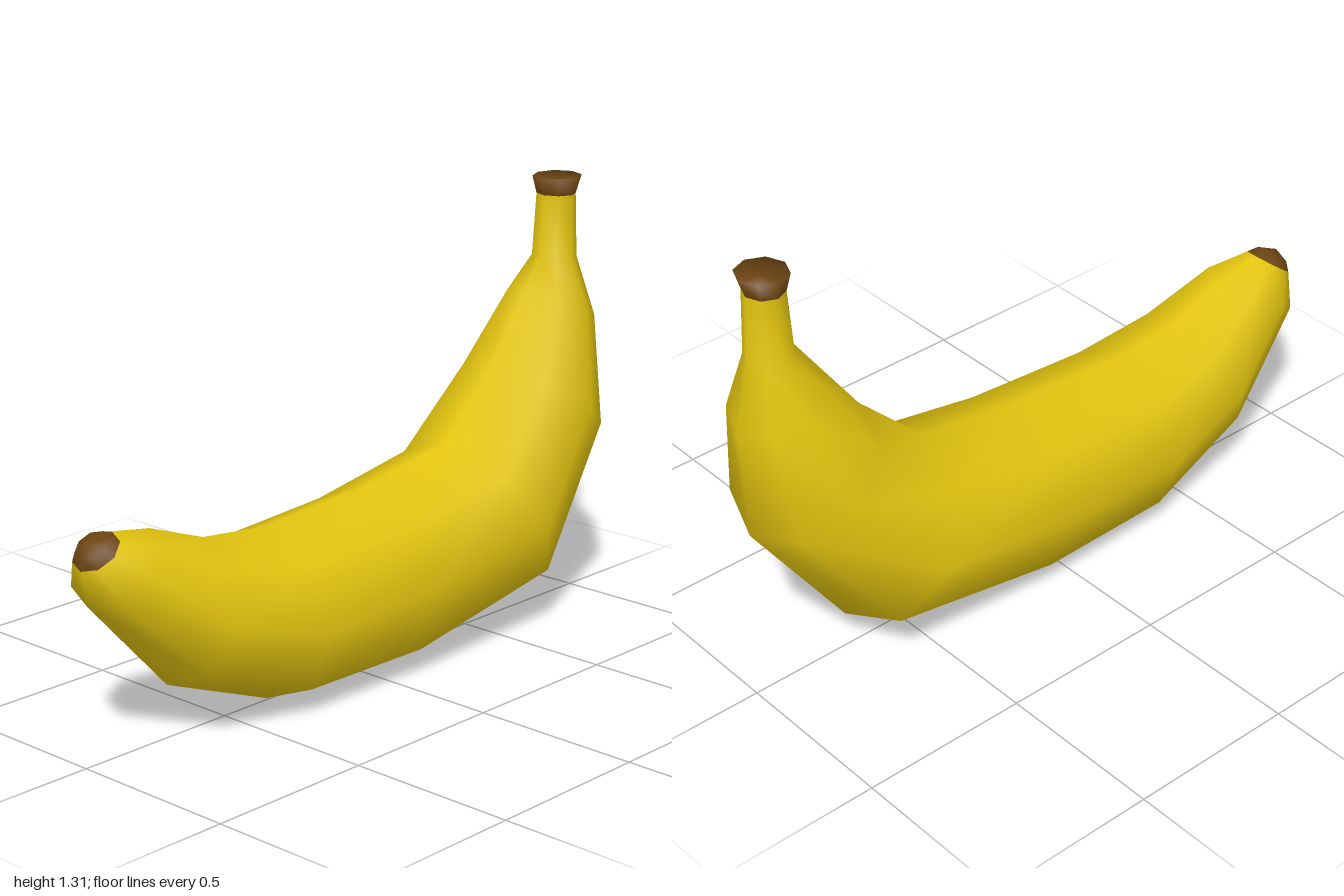
import * as THREE from 'three';
import { mergeVertices } from 'three/addons/utils/BufferGeometryUtils.js';

const SIDES = 8;

// Skin through elliptical sections: [underside z, underside y, upper z, upper y, half width],
// listed from the blossom tip towards the stem.
function loft(sections) {
  const pos = [], idx = [];
  for (const [bz, by, tz, ty, w] of sections) {
    for (let j = 0; j < SIDES; j++) {
      const a = (j / SIDES) * Math.PI * 2, c = Math.cos(a);
      pos.push(w * Math.sin(a), (by + ty) / 2 + c * (ty - by) / 2, (bz + tz) / 2 + c * (tz - bz) / 2);
    }
  }
  for (let i = 0; i < sections.length - 1; i++) {
    for (let j = 0; j < SIDES; j++) {
      const k = (j + 1) % SIDES;
      const a = i * SIDES + j, c = i * SIDES + k, b = a + SIDES, d = c + SIDES;
      idx.push(a, c, b, c, d, b);
    }
  }
  let geo = new THREE.BufferGeometry();
  geo.setAttribute('position', new THREE.Float32BufferAttribute(pos, 3));
  geo.setIndex(idx);
  geo = mergeVertices(geo); // welds the closing points
  geo.computeVertexNormals();
  return geo;
}

export function createModel() {
  const group = new THREE.Group();
  group.name = 'banana';
  const yellow = new THREE.MeshStandardMaterial({ color: 0xe2c40f });
  yellow.name = 'yellow peel';
  const brown = new THREE.MeshStandardMaterial({ color: 0x6b4412 });
  brown.name = 'brown ends';

  const add = (name, sections, material) => {
    const mesh = new THREE.Mesh(loft(sections), material);
    mesh.name = name;
    group.add(mesh);
  };

  const tipEdge = [1.0, 0.54, 0.89, 0.622, 0.07];
  const stemEdge = [-0.946, 1.252, -0.834, 1.252, 0.06];

  // Curved fruit and its neck
  add('peel', [
    tipEdge,
    [0.98, 0.44, 0.76, 0.6, 0.14],
    [0.71, 0.15, 0.57, 0.53, 0.21],
    [0.34, 0.005, 0.34, 0.505, 0.25],
    [-0.1, 0, -0.06, 0.53, 0.262],
    [-0.69, 0.11, -0.4, 0.58, 0.275],
    [-0.985, 0.53, -0.61, 0.78, 0.226],
    [-1.0, 0.87, -0.752, 0.976, 0.137],
    [-0.955, 1.06, -0.82, 1.07, 0.066],
    stemEdge,
  ], yellow);

  // Rounded blossom end
  add('blossomTip', [
    [0.978, 0.612, 0.978, 0.612, 0],
    [1.0, 0.572, 0.922, 0.63, 0.048],
    tipEdge,
  ], brown);

  // Flared stem end with a slightly sunken top
  add('stemCap', [
    stemEdge,
    [-0.965, 1.307, -0.82, 1.303, 0.073],
    [-0.892, 1.292, -0.892, 1.292, 0],
  ], brown);

  return group;
}
